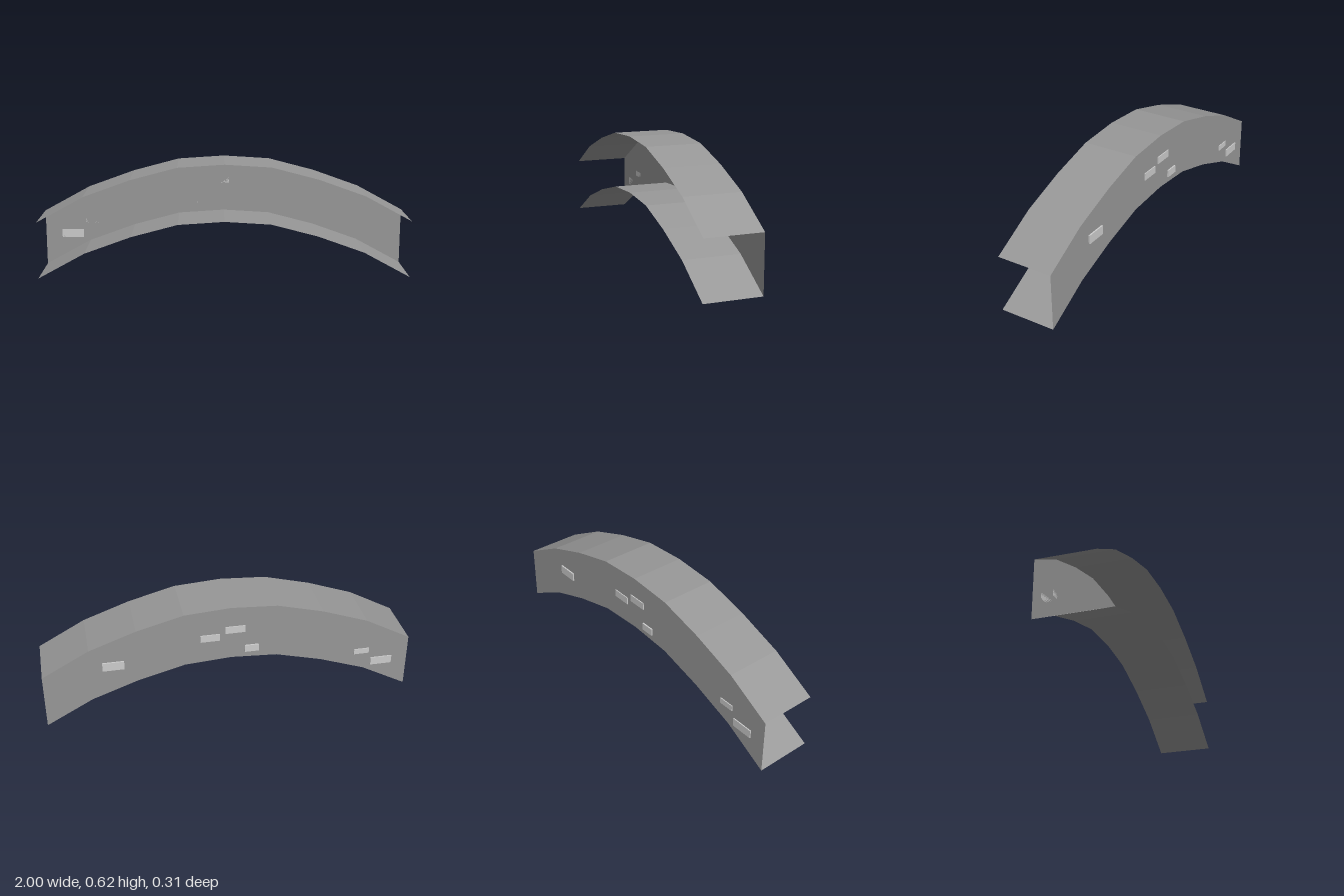
import * as THREE from 'three';

// Half of the arch's lower outline, from the crown outwards, one height every 0.25 in x
const RISE = [0.309, 0.293, 0.227, 0.137, 0];
const HEIGHT = 0.308;
const BACK = -0.149, FRONT = 0.158;

const archY = (x) => RISE[Math.round(Math.abs(x) * 4)];

export function createModel() {
  const group = new THREE.Group();
  group.name = 'archChannel';
  const sheet = new THREE.MeshStandardMaterial({ color: 0x979797, flatShading: true, side: THREE.DoubleSide });
  const stone = new THREE.MeshStandardMaterial({ color: 0xc0c0c0, flatShading: true });

  const add = (name, geometry, material) => {
    const mesh = new THREE.Mesh(geometry, material);
    mesh.name = name;
    group.add(mesh);
    return mesh;
  };

  // Lifts every vertex of a plane by the arch height at its x
  const bend = (geometry) => {
    const p = geometry.attributes.position;
    for (let i = 0; i < p.count; i++) p.setY(i, p.getY(i) + archY(p.getX(i)));
    geometry.computeVertexNormals();
    return geometry;
  };

  // Upper and lower flanges: thin faceted strips, open at the front and ends
  for (const [name, y] of [['lowerFlange', 0], ['upperFlange', HEIGHT]]) {
    const strip = new THREE.PlaneGeometry(2, FRONT - BACK, 8, 1)
      .rotateX(-Math.PI / 2)
      .translate(0, y, (FRONT + BACK) / 2);
    add(name, bend(strip), sheet);
  }

  // Flat back wall joining the flanges
  const wall = new THREE.PlaneGeometry(2, HEIGHT, 8, 1).translate(0, HEIGHT / 2, BACK);
  add('backWall', bend(wall), sheet);

  // Raised bricks on the back: x0, x1, y0, y1, relief
  const bricks = [
    [0.57, 0.685, 0.314, 0.362, 0.008],
    [0.06, 0.165, 0.425, 0.465, 0.005],
    [-0.077, 0.03, 0.463, 0.503, 0.005],
    [-0.15, -0.075, 0.337, 0.377, 0.008],
    [-0.775, -0.69, 0.236, 0.267, 0.005],
    [-0.91, -0.79, 0.154, 0.2, 0.006],
  ];
  bricks.forEach(([x0, x1, y0, y1, d], i) => {
    const brick = add(`brick${i + 1}`, new THREE.BoxGeometry(x1 - x0, y1 - y0, d), stone);
    brick.position.set((x0 + x1) / 2, (y0 + y1) / 2, BACK - d / 2);
  });

  return group;
}
